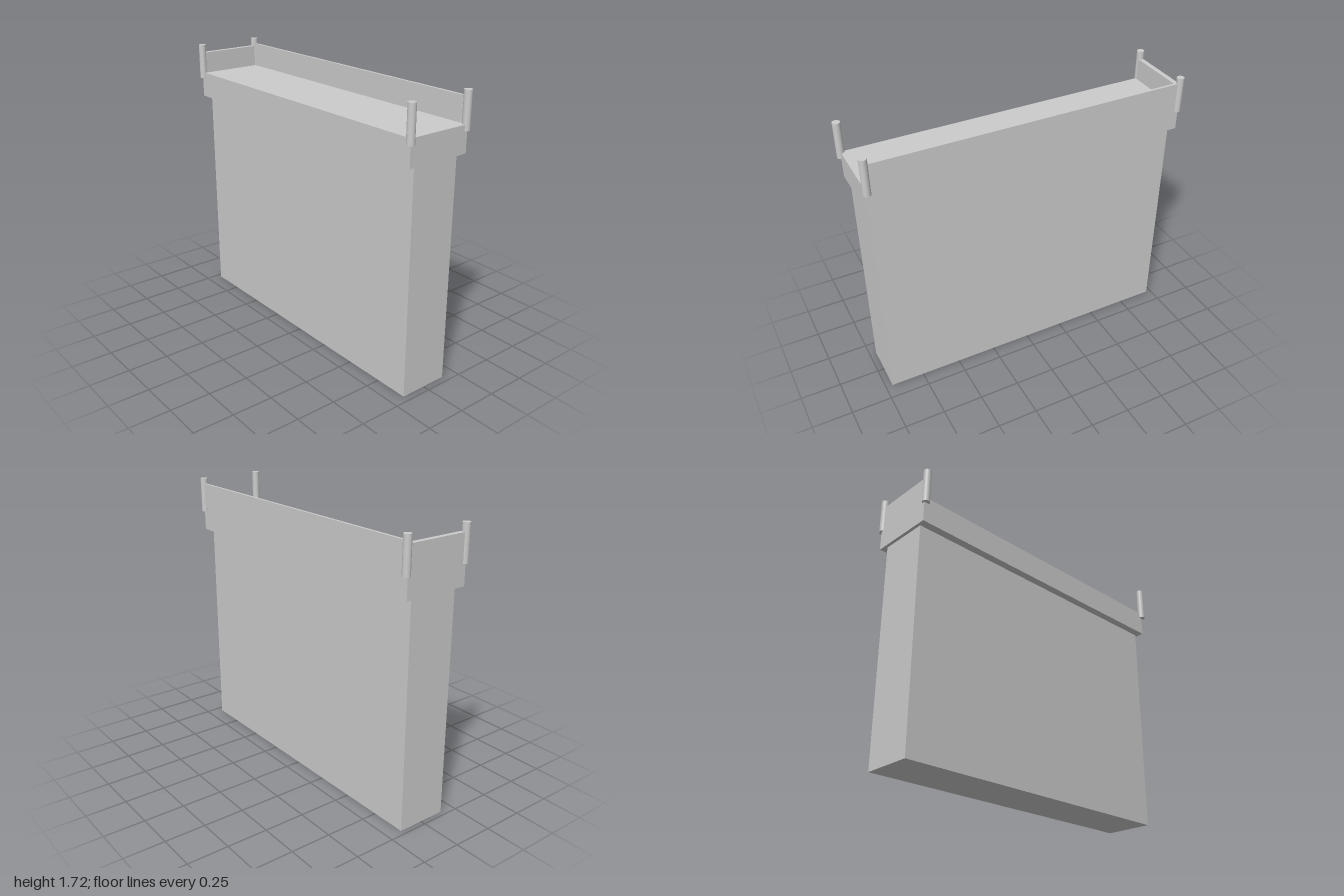
import * as THREE from 'three';

export function createModel() {
  const model = new THREE.Group();
  const material = new THREE.MeshStandardMaterial({ color: 0xcccccc });

  function add(name, geometry, x, y, z) {
    const mesh = new THREE.Mesh(geometry, material);
    mesh.name = name;
    mesh.position.set(x, y, z);
    model.add(mesh);
  }

  // Box given by its extents on each axis
  function block(name, [x0, x1], [y0, y1], [z0, z1]) {
    add(name, new THREE.BoxGeometry(x1 - x0, y1 - y0, z1 - z0),
      (x0 + x1) / 2, (y0 + y1) / 2, (z0 + z1) / 2);
  }

  // Tall wall and the wider cap on it
  block('wallBody', [-0.159, 0.155], [0, 1.371], [-0.969, 0.958]);
  block('wallCap', [-0.209, 0.204], [1.371, 1.531], [-0.988, 0.977]);

  // Parapets along the left side and the back
  block('sideParapet', [0.196, 0.212], [1.521, 1.681], [-0.977, 0.967]);
  block('backParapet', [-0.209, 0.204], [1.531, 1.665], [-0.988, -0.958]);

  // Round corner posts
  const post = new THREE.CylinderGeometry(0.023, 0.023, 0.219, 24);
  for (const [x, z] of [[-0.209, 0.976], [0.204, 0.967], [-0.209, -0.977], [0.204, -0.977]]) {
    add('cornerPost', post, x, 1.606, z);
  }
  return model;
}
